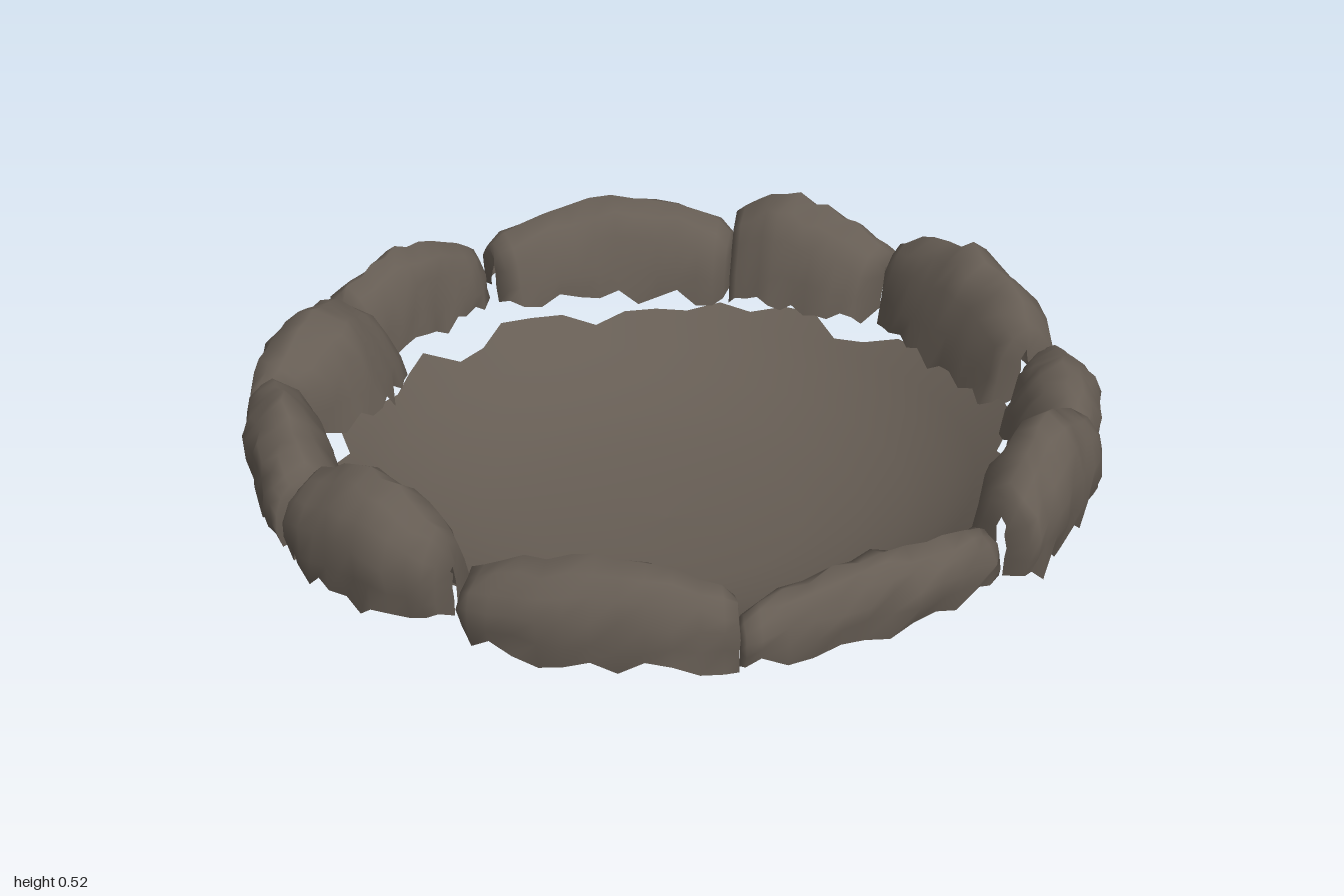
import * as THREE from 'three';

// Repeatable noise in -1..1
const noise = (a, b, c = 0) => {
  const s = Math.sin(a * 12.9898 + b * 78.233 + c * 37.719) * 43758.5453;
  return (s - Math.floor(s)) * 2 - 1;
};

// Stone cross-section from outer foot over the ridge to inner foot: [0 inner..1 outer, 0 foot..1 top]
const SECTION = [[0.95, 0], [1, 0.25], [1, 0.5], [0.9, 0.72], [0.74, 0.89], [0.56, 1], [0.32, 0.88], [0.16, 0.66], [0.05, 0.3], [0, 0]];
const STATIONS = [-1, -0.98, -0.88, -0.72, -0.54, -0.36, -0.18, 0, 0.18, 0.36, 0.54, 0.72, 0.88, 0.98, 1];

// Angles in degrees, [inner, outer] radius at the start, middle and end, top, place of the peak
const STONES = [
  { arc: [-108, -80], radii: [[0.76, 0.99], [0.74, 0.98], [0.77, 0.99]], top: 0.51, peak: -0.3 },
  { arc: [-79, -40], radii: [[0.82, 0.98], [0.74, 0.96], [0.76, 0.95]], top: 0.52, peak: 0 },
  { arc: [-40, -16], radii: [[0.84, 0.96], [0.77, 0.98], [0.84, 0.95]], top: 0.45, peak: 0.1 },
  { arc: [-14, 13], radii: [[0.83, 0.99], [0.77, 0.98], [0.82, 1.0]], top: 0.52, peak: 0.1 },
  { arc: [14, 52], radii: [[0.82, 0.94], [0.82, 0.95], [0.88, 0.98]], top: 0.41, peak: 0 },
  { arc: [52, 86], radii: [[0.87, 0.98], [0.8, 0.98], [0.78, 0.96]], top: 0.46, peak: -0.1 },
  { arc: [89, 115], radii: [[0.8, 0.94], [0.75, 0.98], [0.8, 0.98]], top: 0.52, peak: 0 },
  { arc: [117, 148], radii: [[0.78, 0.98], [0.76, 0.95], [0.82, 0.95]], top: 0.48, peak: -0.1 },
  { arc: [149, 176], radii: [[0.82, 0.97], [0.68, 0.97], [0.69, 0.99]], top: 0.47, peak: 0.1 },
  { arc: [178, 207], radii: [[0.81, 0.99], [0.79, 0.96], [0.83, 0.98]], top: 0.46, peak: -0.1 },
  { arc: [209, 252], radii: [[0.78, 0.97], [0.76, 0.98], [0.71, 0.96]], top: 0.48, peak: 0.1 },
];

// Open-bottomed stone swept along its arc of the ring
function stoneGeometry({ arc, radii, top, peak }, id) {
  const pos = [], index = [], n = SECTION.length, last = STATIONS.length - 1;
  const foot = 0.245;
  STATIONS.forEach((u, i) => {
    const angle = THREE.MathUtils.degToRad(THREE.MathUtils.lerp(arc[0], arc[1], (u + 1) / 2));
    const end = Math.abs(u), closed = i === 0 || i === last;
    const side = radii[u < 0 ? 0 : 2];
    const [rIn, rOut] = radii[1].map((r, k) => THREE.MathUtils.lerp(r, side[k], end * end));
    const width = closed ? 0.15 : 0.75 + 0.25 * Math.sqrt(1 - end ** 5);
    const tent = 1 - 0.25 * Math.abs(u - peak);
    const height = (top - foot) * ((closed ? 0.6 : 0.75 + 0.25 * Math.sqrt(1 - end ** 4)) * tent + 0.03 * noise(id, i));
    SECTION.forEach(([t, h], j) => {
      const isFoot = j === 0 || j === n - 1;
      const r = (rIn + rOut) / 2 + (t - 0.5) * (rOut - rIn) * width + 0.008 * noise(id, i, j);
      const y = foot - 0.015 * (1 - t) + h * height + (isFoot ? 0.022 : 0.006) * noise(i, j, id);
      pos.push(r * Math.cos(angle), y, r * Math.sin(angle));
      if (i < last && j < n - 1) {
        const a = i * n + j, b = a + n;
        index.push(a, a + 1, b, b, a + 1, b + 1);
      }
    });
  });
  const geo = new THREE.BufferGeometry();
  geo.setAttribute('position', new THREE.Float32BufferAttribute(pos, 3));
  geo.setIndex(index);
  geo.computeVertexNormals();
  return geo;
}

// Shallow dish with a ragged rim, reaching furthest at its front right
function bowlGeometry() {
  const profile = [[0, 0], [0.15, 0.004], [0.32, 0.018], [0.45, 0.045], [0.56, 0.085], [0.65, 0.13], [0.71, 0.175], [0.77, 0.22]];
  const sides = 56, n = profile.length;
  const geo = new THREE.LatheGeometry(profile.map(([r, y]) => new THREE.Vector2(r, y)), sides);
  const p = geo.attributes.position;
  for (let i = 0; i <= sides; i++) {
    const v = i * n + n - 1, x = p.getX(v), z = p.getZ(v);
    const reach = 0.05 * Math.cos(Math.atan2(z, x) - 0.75) + 0.04 * noise(i % sides, 5);
    const s = 1 + reach;
    p.setXYZ(v, x * s, p.getY(v) + 0.6 * reach, z * s);
  }
  return geo;
}

export function createModel() {
  const group = new THREE.Group();
  group.name = 'stoneFirePit';
  const stone = new THREE.MeshStandardMaterial({ color: 0x665d54, side: THREE.DoubleSide });
  stone.name = 'warm grey stone';

  const bowl = new THREE.Mesh(bowlGeometry(), stone);
  bowl.name = 'bowl';
  group.add(bowl);

  const ring = new THREE.Group();
  ring.name = 'stoneRing';
  STONES.forEach((spec, i) => {
    const mesh = new THREE.Mesh(stoneGeometry(spec, i + 1), stone);
    mesh.name = `rimStone${i + 1}`;
    ring.add(mesh);
  });
  group.add(ring);
  return group;
}
